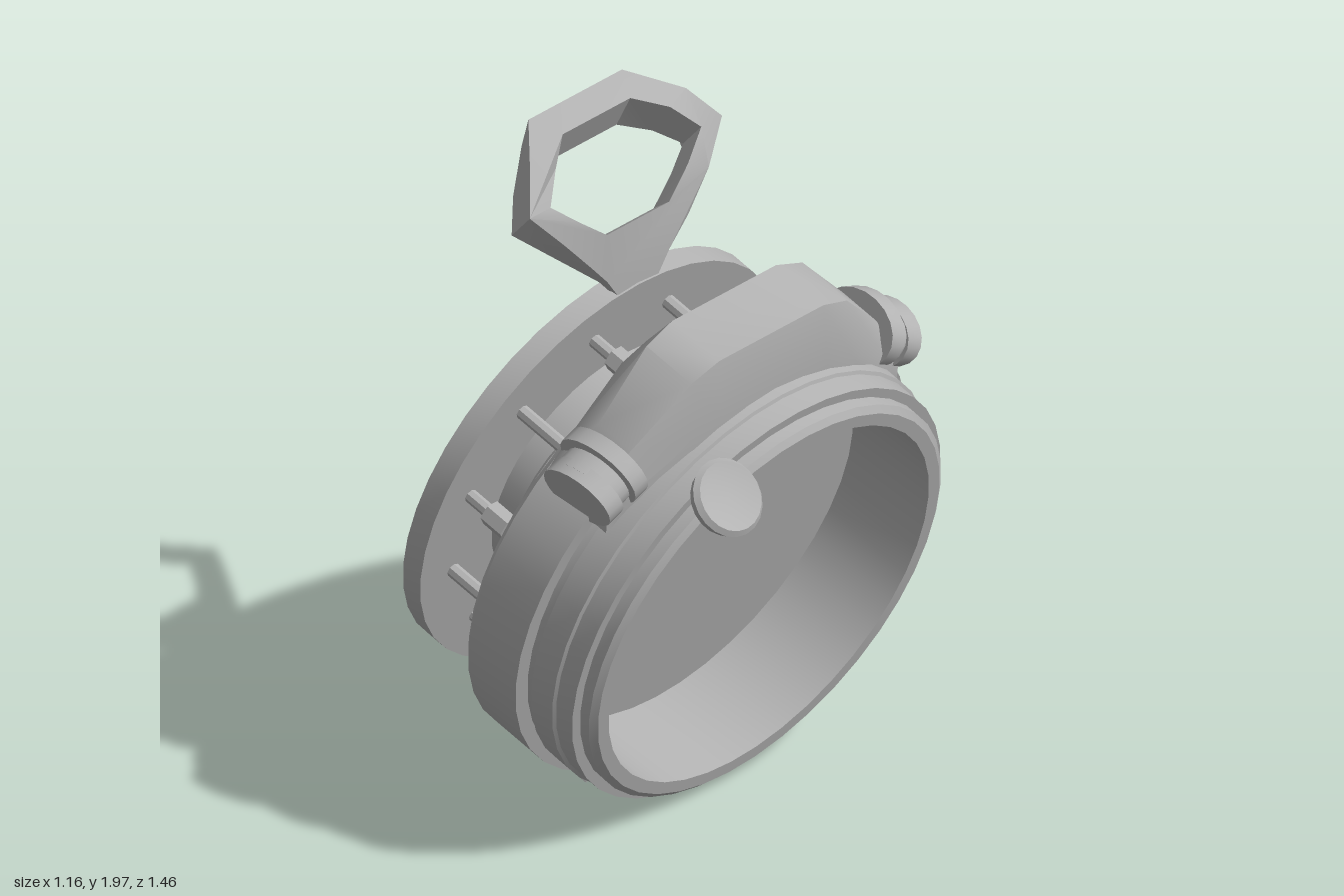
import * as THREE from 'three';
import { toCreasedNormals, mergeVertices } from 'three/addons/utils/BufferGeometryUtils.js';

const TILT = THREE.MathUtils.degToRad(14);
const CY = 0.74; // height of the drum axis in the tilted frame

export function createModel() {
  const metal = new THREE.MeshStandardMaterial({ color: 0xb2b2b2 });
  metal.name = 'grey metal';
  const model = new THREE.Group();
  model.name = 'drumCase';
  const body = new THREE.Group(); // local x is the drum axis
  body.name = 'tiltedBody';
  body.rotation.z = -TILT;
  model.add(body);

  const add = (parent, name, geo, crease = 0.6) => {
    const m = new THREE.Mesh(toCreasedNormals(geo, crease), metal);
    m.name = name;
    parent.add(m);
    return m;
  };
  // profile of [radius, x] turned around the local x axis
  const turned = (name, pts, seg = 40, start = 0, len = Math.PI * 2) => {
    const geo = new THREE.LatheGeometry(pts.map(p => new THREE.Vector2(...p)), seg, start, len);
    const m = add(body, name, geo.rotateZ(-Math.PI / 2));
    m.position.y = CY;
    return m;
  };
  // rod along local x
  const rod = (name, r, x0, x1, y, z, sides) => {
    const geo = new THREE.CylinderGeometry(r, r, x1 - x0, sides).rotateZ(-Math.PI / 2);
    add(body, name, geo).position.set((x0 + x1) / 2, y, z);
  };

  // Open drum with stepped rings and a sunken floor
  turned('drum', [
    [0, -0.3], [0.6, -0.31], [0.71, -0.31], [0.73, -0.29], [0.73, -0.1], [0.685, -0.1],
    [0.685, -0.07], [0.7, -0.07], [0.7, 0.015], [0.69, 0.02], [0.69, 0.085], [0.66, 0.085],
    [0.66, 0.12], [0.64, 0.135], [0.6, 0.135], [0.6, -0.17], [0, -0.17]]);

  // Back flange and its core
  turned('backFlange', [[0, -0.62], [0.667, -0.62], [0.667, -0.55], [0, -0.55]]);
  turned('flangeInset', [[0, -0.623], [0.365, -0.623], [0.365, -0.615]]);
  turned('core', [[0.4, -0.56], [0.4, -0.29]]);
  for (const lean of [0.22, -0.1]) {
    const thread = add(body, 'coreThread', new THREE.TorusGeometry(0.4, 0.012, 5, 40).rotateY(Math.PI / 2));
    thread.rotation.y = lean;
    thread.position.set(-0.43, CY, 0);
  }

  // Six bolts and six plain pins alternate around the core
  for (let i = 0; i < 12; i++) {
    const a = THREE.MathUtils.degToRad(15 + i * 30);
    const y = CY + 0.545 * Math.cos(a), z = 0.545 * Math.sin(a);
    if (i % 2) {
      rod('pin', 0.021, -0.56, -0.29, y, z, 8);
    } else {
      rod('boltShank', 0.02, -0.56, -0.46, y, z, 8);
      rod('boltNut', 0.038, -0.47, -0.39, y, z, 6);
      rod('boltEnd', 0.026, -0.39, -0.29, y, z, 6);
    }
  }

  // Curved foot hooked over the lower back edge
  const footHalf = 0.45;
  const foot = [[0.63, -0.318], [0.75, -0.318], [0.757, -0.3], [0.757, -0.085], [0.69, -0.085]];
  // a lathe angle of -90 degrees points down once turned
  turned('foot', foot, 10, -Math.PI / 2 - footHalf, footHalf * 2).rotation.x = 0;
  for (const s of [1, -1]) {
    const end = new THREE.Shape(foot.map(p => new THREE.Vector2(p[1], -p[0])));
    const geo = new THREE.ExtrudeGeometry(end, { depth: 0.006, bevelEnabled: false }).translate(0, 0, -0.003);
    const cap = add(body, 'footEnd', geo);
    cap.rotation.x = -s * footHalf;
    cap.position.y = CY;
  }

  // Faceted housing on top: sections along z of [z, xBack, xFront, top]
  const half = [[0.56, -0.29, -0.04, 1.28], [0.47, -0.32, -0.02, 1.39], [0.3, -0.35, 0, 1.57], [0.2, -0.36, 0, 1.605]];
  const stations = [...half.map(([z, ...r]) => [-z, ...r]), ...half.slice().reverse()];
  const verts = [], idx = [];
  stations.forEach(([z, lo, hi, top]) => {
    const b = 1.165, t = top - b;
    [[lo, b], [lo, b + t * 0.3], [lo + 0.03, b + t * 0.7], [lo + 0.1, top],
      [hi - 0.07, top], [hi - 0.01, b + t * 0.6], [hi, b]].forEach(p => verts.push(p[0], p[1], z));
  });
  const n = 7, last = (stations.length - 1) * n;
  for (let s = 0; s < stations.length - 1; s++) for (let i = 0; i < n; i++) {
    const a = s * n + i, b = s * n + (i + 1) % n;
    idx.push(a, a + n, b, b, a + n, b + n);
  }
  for (let i = 1; i < n - 1; i++) idx.push(0, i, i + 1, last, last + i + 1, last + i);
  const housing = new THREE.BufferGeometry();
  housing.setAttribute('position', new THREE.Float32BufferAttribute(verts, 3));
  housing.setIndex(idx);
  add(body, 'topHousing', housing, 0.75);

  // Stepped oval knobs at both ends of the housing
  for (const s of [1, -1]) {
    const knob = new THREE.Group();
    knob.name = s > 0 ? 'frontKnob' : 'backKnob';
    knob.position.set(0.17, 1.3, 0.495 * s);
    knob.quaternion.setFromUnitVectors(new THREE.Vector3(0, 1, 0), new THREE.Vector3(0, -0.36, 0.93 * s).normalize());
    const disc = (name, r, len, at, drop) => {
      const g = new THREE.CylinderGeometry(r, r, len, 20).scale(1, 1, 0.75).translate(0, at, drop * s);
      add(knob, name, g);
    };
    disc('knobCollar', 0.142, 0.052, 0, 0);
    disc('knobNeck', 0.115, 0.1, 0.04, 0.01);
    disc('knobCap', 0.125, 0.055, 0.092, 0.018);
    model.add(knob);
  }

  // Dished winding button on a short stem
  const crown = new THREE.Group();
  crown.name = 'windingButton';
  crown.position.set(0.485, 1.265, 0.345);
  crown.quaternion.setFromUnitVectors(new THREE.Vector3(0, 1, 0), new THREE.Vector3(0.76, 0.65, 0).normalize());
  const dish = [[0, -0.045], [0.06, -0.042], [0.1, -0.015], [0.113, 0.02], [0.1, 0.035], [0.075, 0.028], [0, 0.02]];
  add(crown, 'buttonDish', new THREE.LatheGeometry(dish.map(p => new THREE.Vector2(...p)), 20));
  add(crown, 'buttonStem', new THREE.CylinderGeometry(0.028, 0.028, 0.11, 10).translate(0, -0.085, 0));
  model.add(crown);

  // Hexagonal loop, extruded flat and then bent backwards
  const mirror = pts => [...pts, ...pts.slice().reverse().map(([z, v]) => [-z, v])];
  const vec = pts => pts.map(p => new THREE.Vector2(...p));
  const loop = new THREE.Shape(vec(mirror([[0.07, 0], [0.12, 0.12], [0.19, 0.25], [0.28, 0.42], [0.37, 0.6], [0.3, 0.78], [0.18, 1]])));
  loop.holes.push(new THREE.Path(vec(mirror([[0.12, 0.36], [0.21, 0.48], [0.29, 0.6], [0.22, 0.74], [0.13, 0.86]]))));
  const loopGeo = new THREE.ExtrudeGeometry(loop, { depth: 1, bevelEnabled: false });
  const curve = pts => new THREE.CatmullRomCurve3(pts.map(p => new THREE.Vector3(p[0], p[1], 0)));
  const inner = curve([[-0.225, 1.48], [-0.24, 1.6], [-0.32, 1.77], [-0.472, 1.9]]);
  const outer = curve([[-0.2, 1.48], [-0.205, 1.74], [-0.3, 1.93], [-0.445, 2]]);
  const pos = loopGeo.attributes.position;
  for (let i = 0; i < pos.count; i++) {
    const v = THREE.MathUtils.clamp(pos.getY(i), 0, 1);
    const p = inner.getPointAt(v).lerp(outer.getPointAt(v), pos.getZ(i));
    pos.setXYZ(i, p.x, p.y, -pos.getX(i));
  }
  loopGeo.deleteAttribute('uv');
  loopGeo.deleteAttribute('normal');
  add(model, 'topLoop', mergeVertices(loopGeo), 0.5);

  return model;
}
